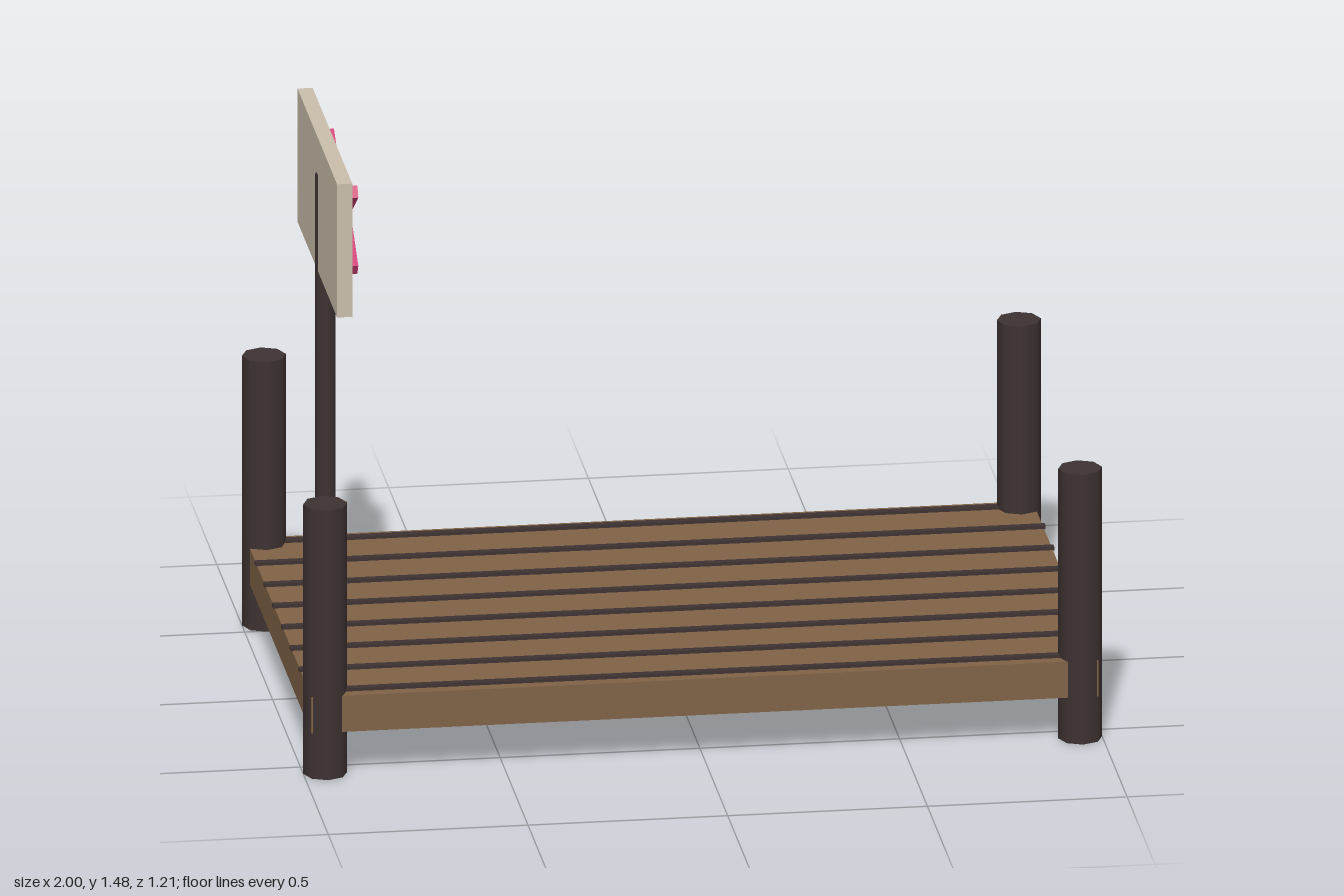
import * as THREE from 'three';

const mat = (name, color) => {
  const m = new THREE.MeshStandardMaterial({ color });
  m.name = name;
  return m;
};

export function createModel() {
  const wood = mat('plank brown', 0x7f6245);
  const dark = mat('dark timber', 0x3e3232);
  const board = mat('pale board', 0xcabeaa);
  const pink = mat('arrow pink', 0xcd3f72);
  const group = new THREE.Group();

  const add = (name, geometry, material, x, y, z) => {
    const mesh = new THREE.Mesh(geometry, material);
    mesh.name = name;
    mesh.position.set(x, y, z);
    group.add(mesh);
    return mesh;
  };

  // deck
  add('deck', new THREE.BoxGeometry(1.97, 0.095, 1.18), wood, 0, 0.1675, 0);

  // dark seams between the planks
  const seam = new THREE.BoxGeometry(1.978, 0.009, 0.02);
  for (let i = 0; i < 8; i++) {
    add('plankSeam', seam, dark, 0, 0.2185, -0.55 + (i * 1.1) / 7);
  }

  // corner posts
  const post = new THREE.CylinderGeometry(0.055, 0.055, 0.71, 8);
  for (const sx of [-1, 1]) {
    for (const sz of [-1, 1]) add('cornerPost', post, dark, sx * 0.945, 0.355, sz * 0.55);
  }

  // sign pole running through the board
  add('signPole', new THREE.CylinderGeometry(0.026, 0.026, 1.18, 8), dark, -0.868, 0.79, 0);
  add('signBoard', new THREE.BoxGeometry(0.038, 0.351, 0.71), board, -0.869, 1.3025, 0);

  // two chevrons with their points towards the pole
  const a = new THREE.Vector2(0.219, 0.103); // outer end of an arm (z, y)
  const b = new THREE.Vector2(0.058, -0.002); // inner end
  const arm = new THREE.BoxGeometry(0.035, 0.032, a.distanceTo(b));
  const slope = Math.atan2(a.y - b.y, a.x - b.x);
  for (const sz of [-1, 1]) {
    for (const sy of [-1, 1]) {
      const mesh = add('chevronArm', arm, pink, -0.8345,
        1.304 + (sy * (a.y + b.y)) / 2, (sz * (a.x + b.x)) / 2);
      mesh.rotation.x = -sz * sy * slope;
    }
  }
  return group;
}
